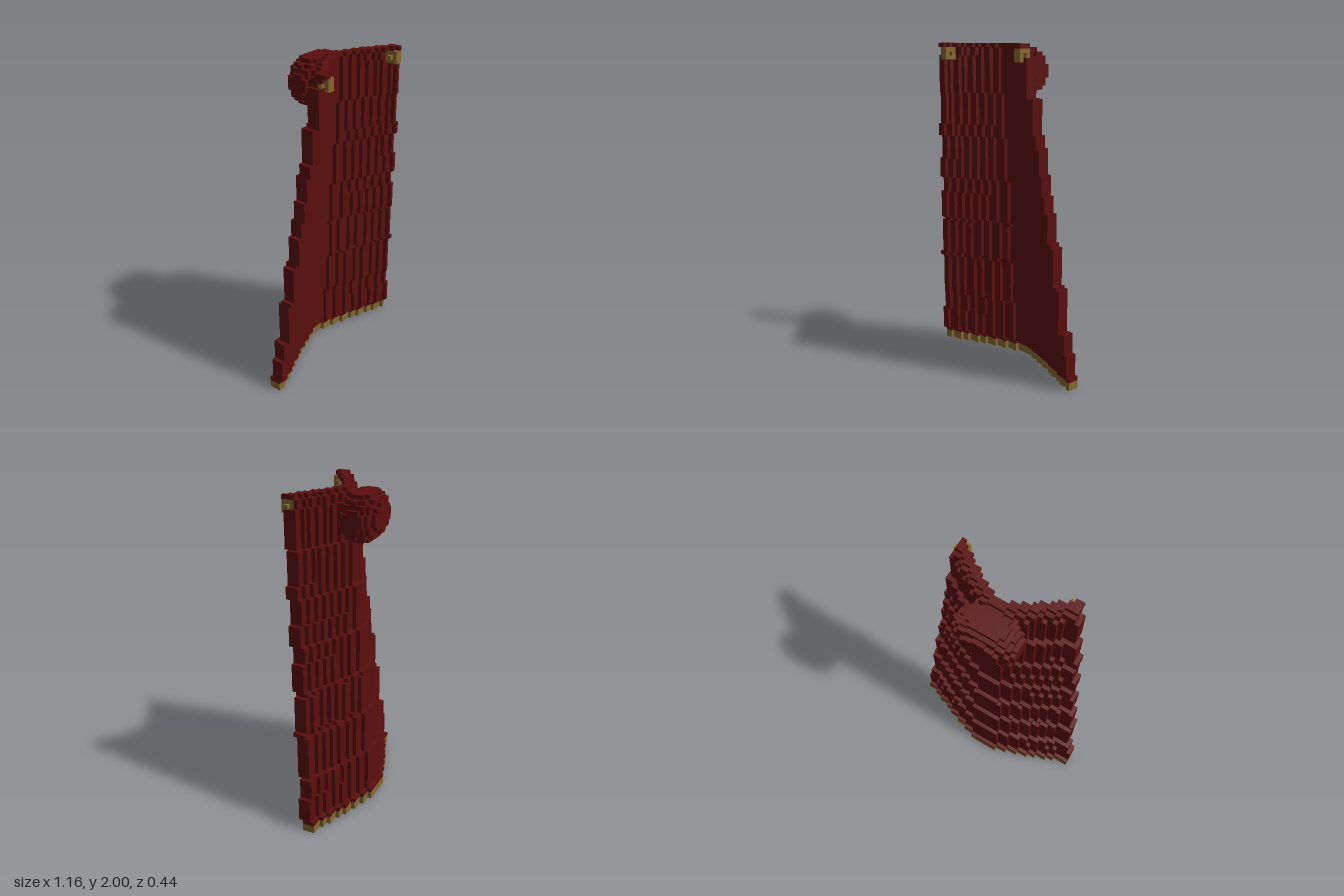
import * as THREE from 'three';

const ROWS = 81, V = 2 / ROWS;   // block rows and block size
const Z0 = -9 * V;               // rearmost block boundary

// rows at which the cape narrows by one block per side
const TAPER = [9, 14, 26, 35, 43, 52, 61, 69, 78];

const key = (x, y, z) => `${x},${y},${z}`;

// Surface of all blocks belonging to one part, skipping faces hidden by any neighbour
function blockGeometry(cells, part) {
  const pos = [], nor = [];
  for (const [k, name] of cells) {
    if (name !== part) continue;
    const c = k.split(',').map(Number);
    for (let a = 0; a < 3; a++) for (const s of [-1, 1]) {
      const n = [0, 0, 0];
      n[a] = s;
      if (cells.has(key(c[0] + n[0], c[1] + n[1], c[2] + n[2]))) continue;
      const u = (a + 1) % 3, v = (a + 2) % 3;
      const quad = [[0, 0], [1, 0], [1, 1], [0, 1]].map(([p, q]) => {
        const o = [...c];
        o[a] += s > 0 ? 1 : 0;
        o[u] += p;
        o[v] += q;
        return [(o[0] - 0.5) * V, o[1] * V, Z0 + o[2] * V];
      });
      for (const i of s > 0 ? [0, 1, 2, 0, 2, 3] : [0, 2, 1, 0, 3, 2]) {
        pos.push(...quad[i]);
        nor.push(...n);
      }
    }
  }
  const g = new THREE.BufferGeometry();
  g.setAttribute('position', new THREE.Float32BufferAttribute(pos, 3));
  g.setAttribute('normal', new THREE.Float32BufferAttribute(nor, 3));
  return g;
}

export function createModel() {
  const cells = new Map();

  // Curved, tapering cloth that leans forward one block every eleven rows
  for (let y = 0; y < ROWS; y++) {
    const half = 23 - TAPER.filter((t) => y >= t).length;
    const lean = Math.floor((y + 8) / 11);
    for (let x = -half; x <= half; x++) {
      const u = Math.abs(x - 0.5) / (half + 0.5);
      const bend = 8 * Math.pow(u / 0.957, 1.21);
      const back = Math.min(7, Math.floor(bend));
      const front = Math.min(10, Math.floor(bend + 2.3));
      for (let z = back; z < front; z++) cells.set(key(x, y, z + lean), y < 2 ? 'hem' : 'cloth');
    }
  }

  // Lowered hood bunched behind the neck
  for (let x = -7; x <= 7; x++) for (let y = -5; y <= 5; y++) for (let z = -4; z <= 4; z++) {
    const d = Math.abs(x / 7.6) ** 2.4 + Math.abs(y / 5.7) ** 2.4 + Math.abs(z / 4.5) ** 2.4;
    const k = key(x, y + 74, z + 4);
    if (d <= 1 && !cells.has(k)) cells.set(k, 'hood');
  }

  // Shoulder clasps: a small block with a stub on each side
  for (const cx of [-13, 13]) {
    for (let x = -1; x <= 2; x++) for (let y = -1; y <= 1; y++) for (let z = -1; z <= 1; z++) {
      const core = x === 0 || x === 1;
      if (core || (y === 0 && z === 0)) cells.set(key(cx + x, 78 + y, 16 + z), 'clasps');
    }
  }

  const red = new THREE.MeshStandardMaterial({ color: 0x5a0e0e });
  red.name = 'dark red cloth';
  const gold = new THREE.MeshStandardMaterial({ color: 0x86682f });
  gold.name = 'dull gold trim';

  const group = new THREE.Group();
  group.name = 'cape';
  for (const [part, material] of [['cloth', red], ['hood', red], ['hem', gold], ['clasps', gold]]) {
    const mesh = new THREE.Mesh(blockGeometry(cells, part), material);
    mesh.name = part;
    group.add(mesh);
  }
  return group;
}
